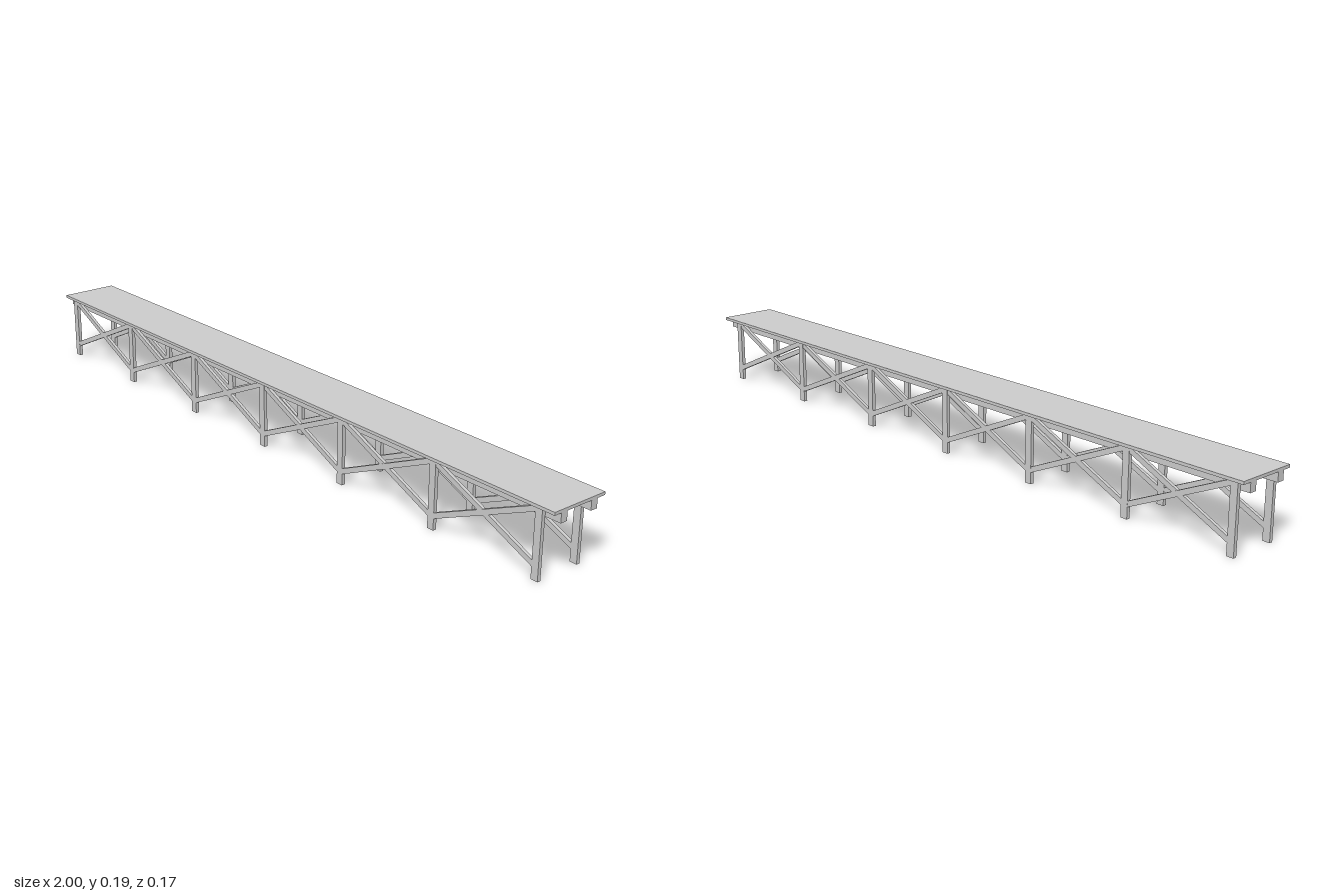
import * as THREE from 'three';

const material = new THREE.MeshStandardMaterial({ color: 0xcccccc, flatShading: true });

function addBox(parent, name, size, position, tilt = 0) {
  const mesh = new THREE.Mesh(new THREE.BoxGeometry(...size), material);
  mesh.name = name;
  mesh.position.set(...position);
  mesh.rotation.z = tilt;
  parent.add(mesh);
}

export function createModel() {
  const model = new THREE.Group();
  model.name = 'trestleWalkway';

  const deckTop = 0.19, deckBottom = 0.182, beamBottom = 0.157;
  const legX = [-0.965, -0.655, -0.335, -0.021, 0.295, 0.622, 0.947];
  const braceLow = 0.034, braceHigh = 0.177;

  // Walking surface
  addBox(model, 'deck', [2, deckTop - deckBottom, 0.166], [0, (deckTop + deckBottom) / 2, 0]);

  for (const side of [1, -1]) {
    const frame = new THREE.Group();
    frame.name = side > 0 ? 'frontFrame' : 'backFrame';
    const legZ = side > 0 ? 0.067 : -0.064;

    // Long beam under the deck, just inside the legs
    addBox(frame, 'beam', [2, deckBottom - beamBottom, 0.02],
      [0, (deckBottom + beamBottom) / 2, legZ - side * 0.016]);

    legX.forEach((x, i) => {
      addBox(frame, 'leg', [0.02, deckBottom, 0.01], [x, deckBottom / 2, legZ]);
      if (i === legX.length - 1) return;

      // Crossed braces between neighbouring legs
      const span = legX[i + 1] - x, rise = braceHigh - braceLow;
      for (const slope of [1, -1]) {
        addBox(frame, 'crossBrace', [Math.hypot(span, rise), 0.014, 0.009],
          [x + span / 2, (braceLow + braceHigh) / 2, legZ + slope * 0.0003],
          slope * Math.atan2(rise, span));
      }
    });
    model.add(frame);
  }
  return model;
}
